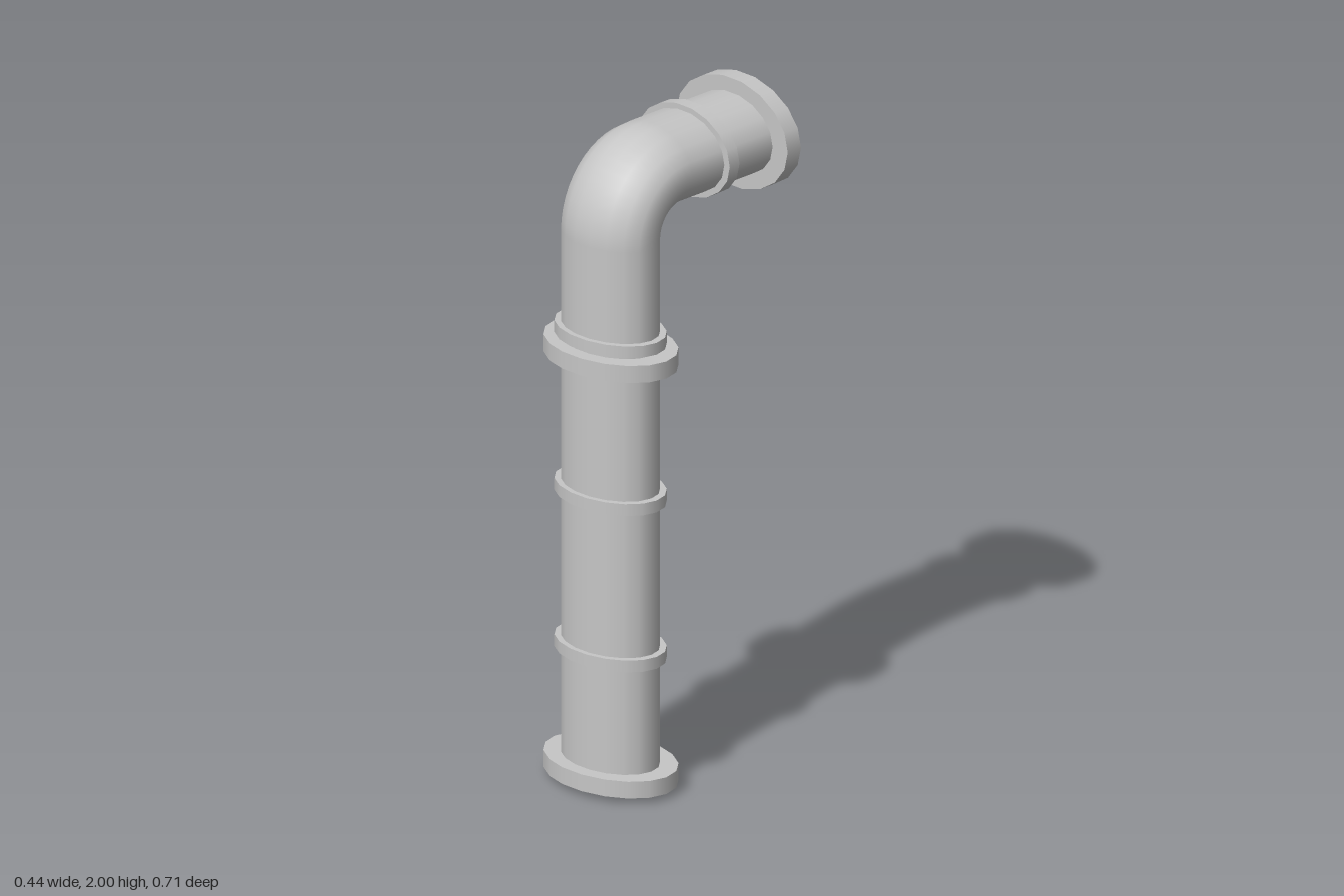
import * as THREE from 'three';

const SIDES = 18;
const SX = 0.162, SY = 0.1205, SZ = 0.114; // pipe radius along each axis
const PIPE_Z = 0.2, PIPE_Y = 1.836;        // centre lines of the two legs
const BEND = 1.45;                         // bend radius in pipe radii

export function createModel() {
  const group = new THREE.Group();
  const grey = new THREE.MeshStandardMaterial({ color: 0xc6c6c6 });
  grey.name = 'pipeGrey';

  function add(name, geometry) {
    const mesh = new THREE.Mesh(geometry, grey);
    mesh.name = name;
    group.add(mesh);
  }

  // Oval drum, k times as wide as the pipe
  const drum = (k, length, depth) =>
    new THREE.CylinderGeometry(1, 1, 1, SIDES, 1, false, Math.PI / 2)
      .scale(SX * k, length, depth * k);

  const upright = (name, k, y0, y1) =>
    add(name, drum(k, y1 - y0, SZ).translate(0, (y0 + y1) / 2, PIPE_Z));

  const level = (name, k, z0, z1) =>
    add(name, drum(k, z0 - z1, SY).rotateX(-Math.PI / 2).translate(0, PIPE_Y, (z0 + z1) / 2));

  const FLANGE = 1.372, RING = 1.135;
  const bendY = PIPE_Y - BEND * SY, bendZ = PIPE_Z - BEND * SZ;

  // Standing leg
  upright('uprightPipe', 1, 0, bendY);
  upright('baseFlange', FLANGE, 0.019, 0.07);
  upright('lowerRing', RING, 0.39, 0.426);
  upright('middleRing', RING, 0.867, 0.903);
  upright('jointFlange', FLANGE, 1.286, 1.338);
  upright('jointRing', RING, 1.348, 1.384);

  // Quarter bend, turned about the x axis
  const profile = [];
  for (let i = 0; i <= SIDES; i++) {
    const a = (i / SIDES) * Math.PI * 2;
    profile.push(new THREE.Vector2(BEND + Math.sin(a), -Math.cos(a)));
  }
  const elbow = new THREE.LatheGeometry(profile, 12, 0, Math.PI / 2);
  // Smooth the seam where the profile closes
  const normals = elbow.attributes.normal;
  for (let i = 0; i < normals.count; i++) {
    if (i % (SIDES + 1) === 0 || i % (SIDES + 1) === SIDES) normals.setXYZ(i, 0, -1, 0);
  }
  elbow.rotateZ(Math.PI / 2).scale(SX, SY, SZ).translate(0, bendY, bendZ);
  add('elbow', elbow);

  // Level leg reaching to the back
  level('levelPipe', 1, bendZ, -0.356);
  level('levelRing', RING, -0.092, -0.131);
  level('outletFlange', FLANGE, -0.285, -0.338);

  return group;
}
